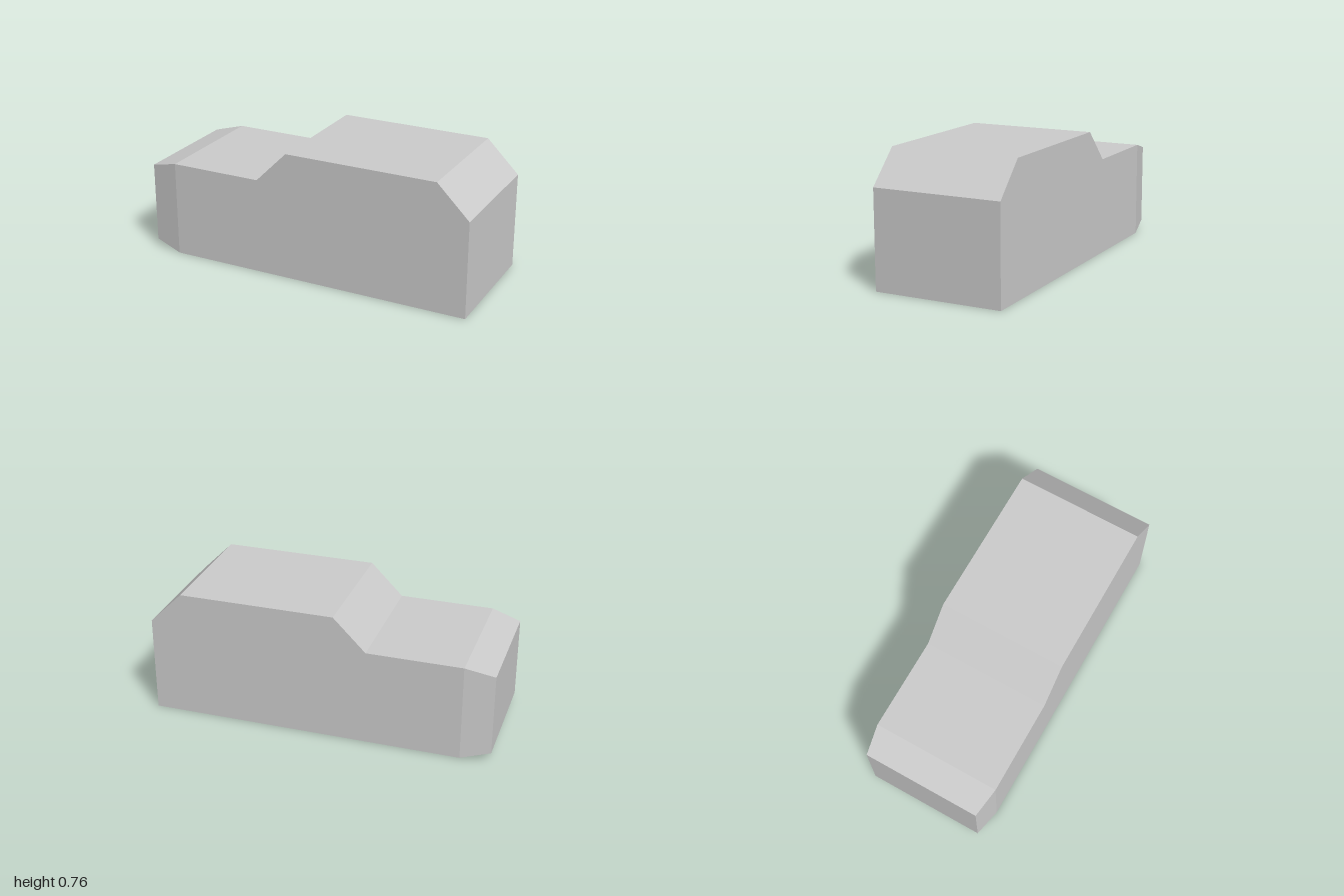
import * as THREE from 'three';

export function createModel() {
  const group = new THREE.Group();
  group.name = 'blockCar';
  const bodyGrey = new THREE.MeshStandardMaterial({ color: 0xcccccc });
  bodyGrey.name = 'bodyGrey';

  // Rectangular cross-sections along the length: x, bottom, top, half width
  const stations = [
    [-1, 0.046, 0.525, 0.348], // tapered nose
    [-0.83, 0, 0.568, 0.377], // hood
    [-0.28, 0, 0.568, 0.377], // foot of windscreen slope
    [-0.092, 0, 0.757, 0.377], // roof start
    [0.81, 0, 0.757, 0.377], // roof end
    [1, 0, 0.568, 0.377], // tail
  ];
  const rings = stations.map(([x, b, t, h]) => [
    [x, b, -h], [x, b, h], [x, t, h], [x, t, -h],
  ]);

  const positions = [];
  const quad = (a, b, c, d) => positions.push(...a, ...b, ...c, ...a, ...c, ...d);

  // Four walls between neighbouring sections
  for (let i = 0; i < rings.length - 1; i++) {
    for (let k = 0; k < 4; k++) {
      const n = (k + 1) % 4;
      quad(rings[i][k], rings[i + 1][k], rings[i + 1][n], rings[i][n]);
    }
  }
  // Nose and tail faces
  quad(...rings[0]);
  quad(...[...rings[rings.length - 1]].reverse());

  // Unshared vertices keep every face flat
  const geometry = new THREE.BufferGeometry();
  geometry.setAttribute('position', new THREE.Float32BufferAttribute(positions, 3));
  geometry.computeVertexNormals();

  const body = new THREE.Mesh(geometry, bodyGrey);
  body.name = 'body';
  group.add(body);
  return group;
}
